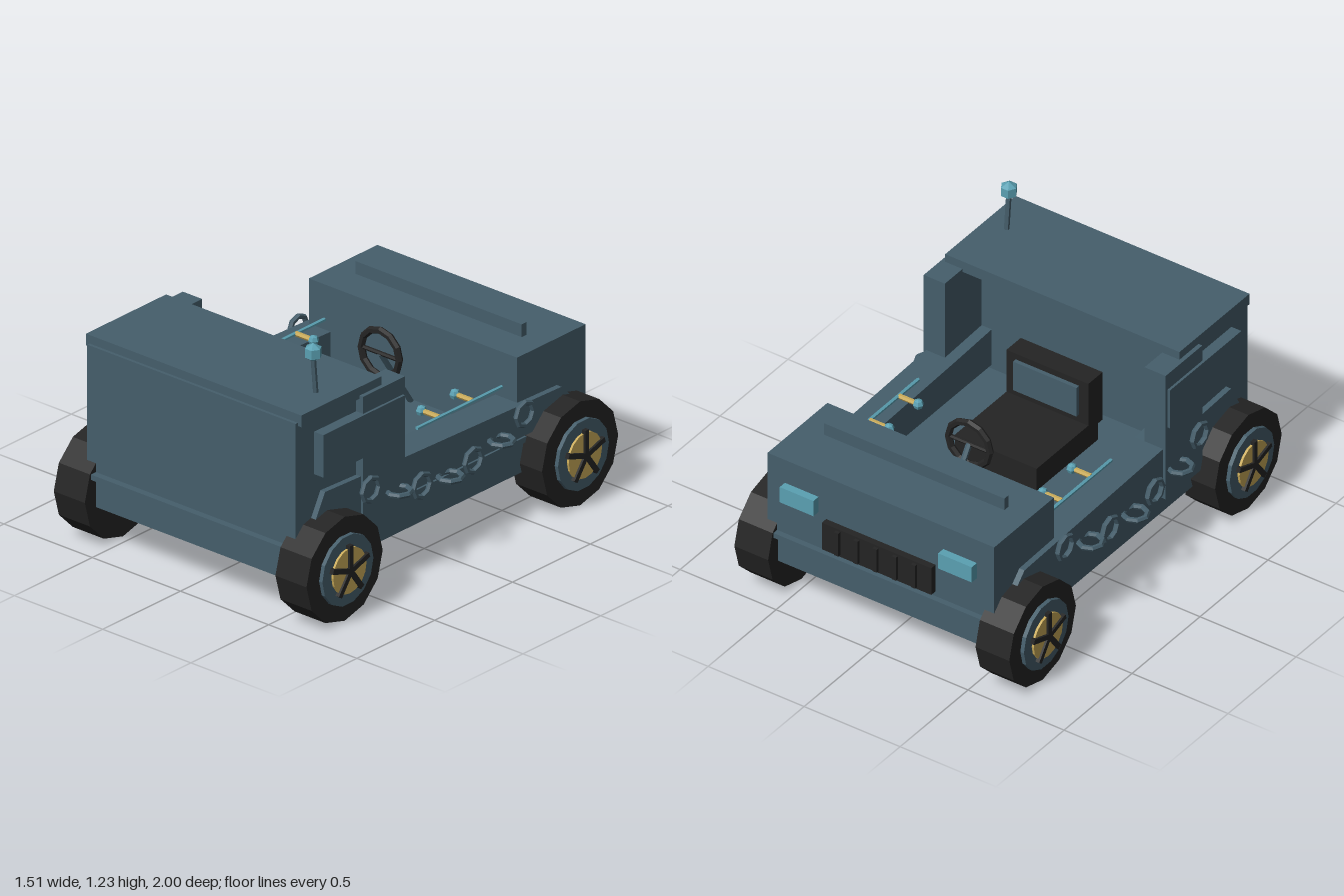
import * as THREE from 'three';

const mat = (name, color) => {
  const m = new THREE.MeshStandardMaterial({ color });
  m.name = name;
  return m;
};

export function createModel() {
  const body = mat('slate blue paint', 0x455e6b);
  const black = mat('black rubber', 0x242424);
  const gold = mat('brass', 0xc9aa58);
  const cyan = mat('pale cyan', 0x5aa0b2);
  const model = new THREE.Group();
  model.name = 'openTruck';

  // Faceted mesh from any geometry
  const add = (name, geo, material, parent = model) => {
    const flat = geo.index ? geo.toNonIndexed() : geo;
    flat.computeVertexNormals();
    const mesh = new THREE.Mesh(flat, material);
    mesh.name = name;
    parent.add(mesh);
    return mesh;
  };
  // Box given by its limits on each axis
  const box = (name, x0, x1, y0, y1, z0, z1, material = body, parent = model) => {
    const m = add(name, new THREE.BoxGeometry(x1 - x0, y1 - y0, z1 - z0), material, parent);
    m.position.set((x0 + x1) / 2, (y0 + y1) / 2, (z0 + z1) / 2);
    return m;
  };
  // Straight rod between two points
  const rod = (name, a, b, r, material, sides = 6) => {
    const p = new THREE.Vector3(...a), q = new THREE.Vector3(...b);
    const m = add(name, new THREE.CylinderGeometry(r, r, p.distanceTo(q), sides), material);
    m.position.copy(p).lerp(q, 0.5);
    m.quaternion.setFromUnitVectors(new THREE.Vector3(0, 1, 0), q.sub(p).normalize());
    return m;
  };

  // Chassis and floor plate
  box('chassis', -0.59, 0.59, 0.2, 0.36, -0.93, 0.93);
  box('floorPlate', -0.6, 0.6, 0.34, 0.365, -0.963, 0.963);

  // Engine hood
  box('hood', -0.59, 0.59, 0.36, 0.75, -0.935, -0.495);
  box('hoodRidge', -0.47, 0.47, 0.75, 0.81, -0.69, -0.66);

  // Cabin block, roof and front pillars
  box('cabin', -0.59, 0.59, 0.36, 0.95, 0.54, 0.93);
  box('roof', -0.61, 0.61, 0.935, 0.99, 0.4, 0.915);

  // Grille with ribs
  box('grille', -0.285, 0.285, 0.39, 0.53, -0.967, -0.93, black);
  for (let i = -2; i <= 2; i++)
    box('grilleRib', i * 0.1 - 0.011, i * 0.1 + 0.011, 0.4, 0.52, -0.982, -0.96, black);

  // Side wall outline, drawn along -z and extruded across x
  const wall = new THREE.Shape([
    [-0.86, 0.385], [-0.83, 0.47], [-0.77, 0.58], [-0.27, 0.56],
    [0.75, 0.53], [0.82, 0.46], [0.84, 0.385],
  ].map(([u, v]) => new THREE.Vector2(u, v)));

  for (const s of [1, -1]) {
    const sideBox = (name, a, b, ...rest) => box(name, Math.min(s * a, s * b), Math.max(s * a, s * b), ...rest);
    sideBox('pillar', 0.52, 0.63, 0.3, 0.95, 0.27, 0.54);
    sideBox('sidePanel', 0.58, 0.642, 0.67, 0.87, 0.285, 0.81);
    sideBox('headlight', 0.325, 0.5, 0.55, 0.63, -0.973, -0.93, cyan);

    const w = add('sideWall', new THREE.ExtrudeGeometry(wall, { depth: 0.15, bevelEnabled: false }).rotateY(Math.PI / 2), body);
    w.position.x = s > 0 ? 0.467 : -0.617;

    // Chain draped along the wall, links alternately upright and flat
    for (let i = -3; i <= 3; i++) {
      const upright = i % 2 !== 0;
      const link = new THREE.TorusGeometry(0.054, 0.013, 6, 8);
      if (upright) link.rotateY(Math.PI / 2);
      else link.rotateX(Math.PI / 2);
      const m = add('chainLink', link, body);
      m.position.set(s * (upright ? 0.642 : 0.655), 0.393 + 0.0125 * i * i, 0.01 + i * 0.165);
    }

    // Inner rail with two brass levers
    rod('rail', [s * 0.502, 0.585, -0.495], [s * 0.502, 0.585, 0.05], 0.009, cyan);
    for (const z of [-0.31, -0.095]) {
      rod('lever', [s * 0.41, 0.585, z], [s * 0.5, 0.585, z], 0.012, gold);
      add('leverKnob', new THREE.SphereGeometry(0.025, 6, 4), cyan).position.set(s * 0.4, 0.585, z);
    }

    // Wheels
    for (const z of [0.757, -0.757]) {
      const wheel = new THREE.Group();
      wheel.name = 'wheel';
      wheel.position.set(0, 0.245, z);
      model.add(wheel);
      const disc = (name, r, x0, x1, sides, material) => {
        const g = new THREE.CylinderGeometry(r, r, x1 - x0, sides).rotateZ(Math.PI / 2);
        add(name, g, material, wheel).position.x = s * (x0 + x1) / 2;
      };
      disc('tire', 0.245, 0.54, 0.716, 12, black);
      disc('rim', 0.164, 0.7, 0.735, 14, body);
      disc('hubDisc', 0.107, 0.72, 0.746, 16, gold);
      for (let i = 0; i < 5; i++) {
        const g = new THREE.BoxGeometry(0.02, 0.122, 0.024).translate(0, 0.061, 0);
        const spoke = add('spoke', g, black, wheel);
        spoke.position.x = s * 0.746;
        spoke.rotation.x = i * Math.PI * 2 / 5;
      }
    }
  }

  // Seat
  box('seatCushion', -0.213, 0.213, 0.385, 0.5, -0.09, 0.36, black);
  box('seatBack', -0.213, 0.213, 0.47, 0.72, 0.29, 0.395, black);
  box('seatBackPad', -0.165, 0.165, 0.54, 0.69, 0.27, 0.295);

  // Steering wheel and column
  add('steeringWheel', new THREE.TorusGeometry(0.108, 0.017, 6, 12), black).position.set(0, 0.66, -0.285);
  rod('steeringSpoke', [-0.1, 0.66, -0.285], [0.1, 0.66, -0.285], 0.01, black);
  rod('steeringColumn', [0, 0.66, -0.285], [0, 0.365, -0.48], 0.014, body);

  // Roof lamp on its mast
  rod('mast', [0.503, 0.98, 0.7], [0.503, 1.16, 0.717], 0.012, body);
  add('lamp', new THREE.SphereGeometry(0.043, 6, 3), cyan).position.set(0.503, 1.185, 0.717);

  return model;
}
